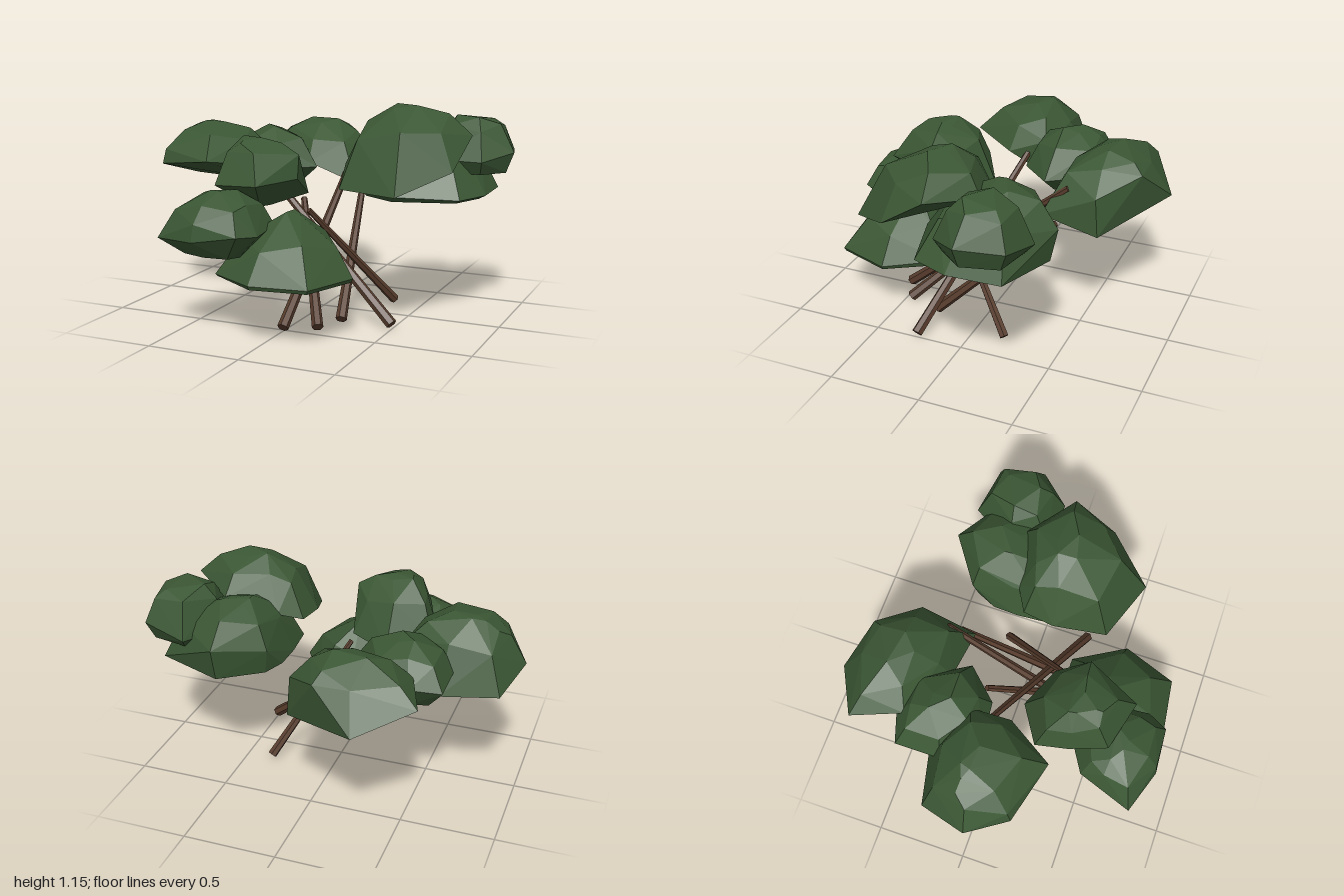
import * as THREE from 'three';
import { ConvexGeometry } from 'three/addons/geometries/ConvexGeometry.js';

const leaf = new THREE.MeshStandardMaterial({ color: 0x3b5734 });
leaf.name = 'leaf green';
const bark = new THREE.MeshStandardMaterial({ color: 0x573c2c, flatShading: true });
bark.name = 'bark brown';

// A faceted clump: rim corners [x, y, z], an uneven shoulder and a crown plateau.
// A base { y, size } adds a flat underside; without it the slanted rim closes the clump.
function clump(name, rim, crown, base = null, crownSize = 0.22, fullness = 0.66) {
  const centre = new THREE.Vector3();
  const corners = rim.map((p) => new THREE.Vector3(...p));
  corners.forEach((p) => centre.addScaledVector(p, 1 / corners.length));
  const top = new THREE.Vector3(...crown);
  const points = [];
  corners.forEach((p, i) => {
    points.push(p);
    if (base) {
      const foot = centre.clone().lerp(p, base.size);
      foot.y = base.y;
      points.push(foot);
    }
    const shoulder = top.clone().lerp(p, i % 2 ? 0.64 : 0.74);
    shoulder.y = p.y + (top.y - p.y) * (fullness + (i % 2 ? 0.06 : -0.06));
    points.push(shoulder);
    if (i % 2 === 0) {
      const peak = top.clone().lerp(p, crownSize);
      peak.y = top.y - (i % 4 ? 0.02 : 0);
      points.push(peak);
    }
  });
  const mesh = new THREE.Mesh(new ConvexGeometry(points), leaf);
  mesh.name = name;
  return mesh;
}

// A tapered six-sided pole between two points.
function pole(name, from, to, r0 = 0.03, r1 = 0.018) {
  const a = new THREE.Vector3(...from);
  const b = new THREE.Vector3(...to);
  const dir = b.clone().sub(a);
  const mesh = new THREE.Mesh(new THREE.CylinderGeometry(r1, r0, dir.length(), 6), bark);
  mesh.position.copy(a).add(b).multiplyScalar(0.5);
  mesh.quaternion.setFromUnitVectors(new THREE.Vector3(0, 1, 0), dir.normalize());
  mesh.name = name;
  return mesh;
}

export function createModel() {
  const model = new THREE.Group();
  model.name = 'leaningTree';

  // Crossing trunks
  const trunks = new THREE.Group();
  trunks.name = 'trunks';
  trunks.add(
    pole('rightTrunk', [0.5, 0.025, 0.26], [-0.41, 0.79, -0.03]),
    pole('shortTrunk', [0.17, 0.025, 0.46], [-0.18, 0.57, -0.13]),
    pole('backTrunk', [0.01, 0.025, 0.54], [0.01, 0.8, -0.41]),
    pole('slantTrunk', [0.22, 0.02, 0.27], [0.08, 0.62, -0.37]),
    pole('frontTrunk', [0.35, 0.025, -0.19], [0.03, 0.59, 0.26], 0.026, 0.015),
  );
  model.add(trunks);

  // Foliage clumps
  const foliage = new THREE.Group();
  foliage.name = 'foliage';
  foliage.add(
    clump('backClump', [
      [-0.63, 0.81, -0.72], [-0.35, 0.69, -0.88], [-0.12, 0.88, -0.77], [0.07, 0.79, -0.58],
      [0.08, 0.58, -0.6], [0.07, 0.65, -0.28], [-0.23, 0.75, -0.3], [-0.53, 0.83, -0.45],
    ], [-0.24, 0.98, -0.56], null, 0.26, 0.6),
    clump('backRightClump', [
      [-0.68, 0.76, -0.45], [-0.52, 0.78, -0.5], [-0.3, 0.75, -0.48], [-0.14, 0.74, -0.22],
      [-0.3, 0.74, -0.05], [-0.5, 0.75, -0.03], [-0.68, 0.77, -0.2],
    ], [-0.44, 0.96, -0.28], { y: 0.65, size: 0.65 }),
    clump('rightClump', [
      [-0.92, 0.66, -0.22], [-0.62, 0.65, -0.29], [-0.4, 0.65, -0.15], [-0.4, 0.86, -0.13],
      [-0.37, 0.78, 0.08], [-0.54, 0.82, 0.34], [-0.87, 0.78, 0.25], [-0.86, 0.86, 0.23],
      [-1, 0.74, 0.04], [-0.86, 0.94, -0.04],
    ], [-0.67, 1, -0.02], null, 0.2),
    clump('frontHighClump', [
      [-0.44, 0.72, 0.23], [-0.22, 0.64, 0.1], [0, 0.67, 0.2], [0.03, 0.9, 0.38],
      [0.04, 0.78, 0.42], [-0.07, 0.77, 0.67], [-0.23, 0.96, 0.52], [-0.34, 0.75, 0.6],
      [-0.41, 0.74, 0.4],
    ], [-0.24, 0.98, 0.4], { y: 0.63, size: 0.25 }, 0.26),
    clump('frontMiddleClump', [
      [-0.56, 0.5, 0.8], [-0.46, 0.66, 0.62], [-0.47, 0.57, 0.5], [-0.3, 0.55, 0.4],
      [-0.05, 0.55, 0.5], [-0.02, 0.54, 0.75], [-0.08, 0.55, 0.86], [-0.32, 0.51, 0.88],
      [-0.31, 0.6, 0.87],
    ], [-0.25, 0.74, 0.64], { y: 0.42, size: 0.55 }),
    clump('frontLowClump', [
      [0.03, 0.33, 0.24], [0.22, 0.33, 0.24], [0.39, 0.32, 0.52], [0.28, 0.32, 0.82],
      [-0.02, 0.32, 0.86], [-0.3, 0.31, 0.68], [-0.2, 0.33, 0.4],
    ], [0.04, 0.63, 0.48], { y: 0.3, size: 0.97 }, 0.14, 0.53),
    clump('leftFrontClump', [
      [0.2, 0.84, -0.05], [0.18, 0.83, 0.12], [0.26, 0.74, 0.4], [0.6, 0.74, 0.52],
      [0.81, 0.84, 0.27], [0.84, 1, 0.03], [0.6, 0.96, -0.17], [0.32, 0.88, -0.12],
    ], [0.51, 1.15, 0.08]),
    clump('leftLowClump', [
      [0.24, 0.67, -0.1], [0.25, 0.66, -0.24], [0.28, 0.79, -0.37], [0.52, 0.83, -0.54],
      [0.87, 0.67, -0.39], [0.88, 0.67, -0.1], [0.8, 0.67, 0.1], [0.45, 0.68, 0.2],
      [0.25, 0.68, 0.08],
    ], [0.48, 1.01, -0.27], { y: 0.65, size: 0.9 }),
    clump('leftBackClump', [
      [0.55, 0.83, -0.25], [0.7, 0.83, -0.49], [0.94, 0.88, -0.44], [1, 0.89, -0.2],
      [0.87, 0.85, -0.04], [0.62, 0.85, -0.06],
    ], [0.77, 1.07, -0.28], { y: 0.78, size: 0.8 }, 0.46, 0.74),
  );
  model.add(foliage);
  return model;
}
